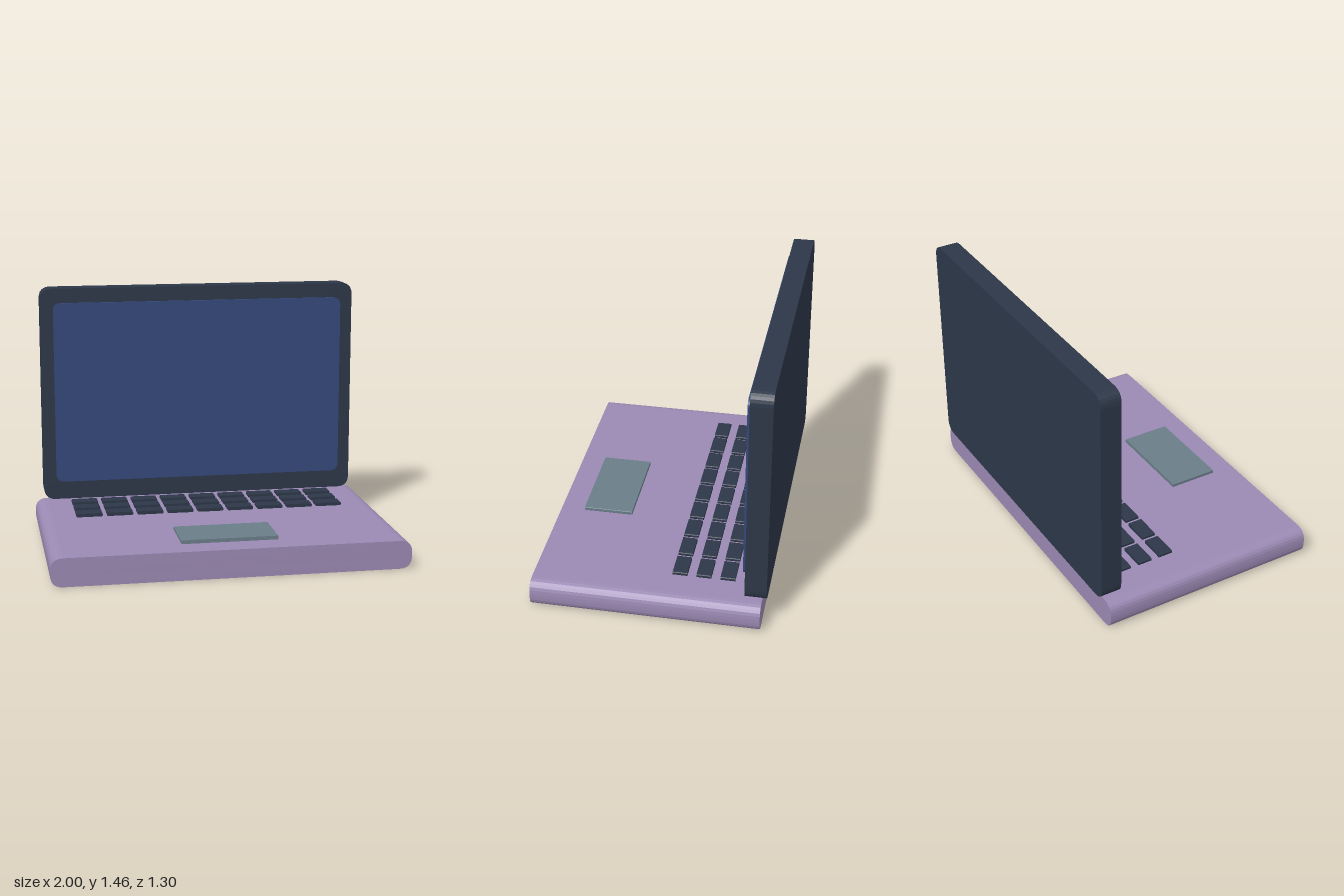
import * as THREE from 'three';

const paint = (name, color) => {
  const m = new THREE.MeshStandardMaterial({ color });
  m.name = name;
  return m;
};

// Slab with corners rounded in the front outline, extruded along z
function slab(name, material, [x0, x1], [y0, y1], [z0, z1], r) {
  const s = new THREE.Shape();
  s.moveTo(x0 + r, y0);
  s.lineTo(x1 - r, y0);
  s.quadraticCurveTo(x1, y0, x1, y0 + r);
  s.lineTo(x1, y1 - r);
  s.quadraticCurveTo(x1, y1, x1 - r, y1);
  s.lineTo(x0 + r, y1);
  s.quadraticCurveTo(x0, y1, x0, y1 - r);
  s.lineTo(x0, y0 + r);
  s.quadraticCurveTo(x0, y0, x0 + r, y0);
  const g = new THREE.ExtrudeGeometry(s, { depth: z1 - z0, bevelEnabled: false, curveSegments: 6 });
  g.translate(0, 0, z0);
  const mesh = new THREE.Mesh(g, material);
  mesh.name = name;
  return mesh;
}

export function createModel() {
  const lilac = paint('lilac body', 0x9b89b3);
  const slate = paint('dark slate', 0x2d3748);
  const blue = paint('screen blue', 0x34487c);
  const grey = paint('trackpad grey', 0x6a7d88);

  const model = new THREE.Group();
  model.name = 'laptop';

  // Body, upright lid and display
  model.add(
    slab('base', lilac, [-1, 1], [0, 0.161], [-0.623, 0.65], 0.07),
    slab('lid', slate, [-0.95, 0.95], [0.176, 1.458], [-0.65, -0.53], 0.07),
    slab('screen', blue, [-0.875, 0.875], [0.287, 1.372], [-0.525, -0.509], 0.05),
    slab('trackpad', grey, [-0.272, 0.272], [0.164, 0.185], [0.229, 0.511], 0.005)
  );

  // Three rows of nine keys
  const keyboard = new THREE.Group();
  keyboard.name = 'keyboard';
  for (const z of [-0.417, -0.284, -0.151]) {
    for (let i = -4; i <= 4; i++) {
      const x = i * 0.179;
      keyboard.add(slab('key', slate, [x - 0.077, x + 0.077], [0.17, 0.19], [z - 0.041, z + 0.041], 0.008));
    }
  }
  model.add(keyboard);
  return model;
}
